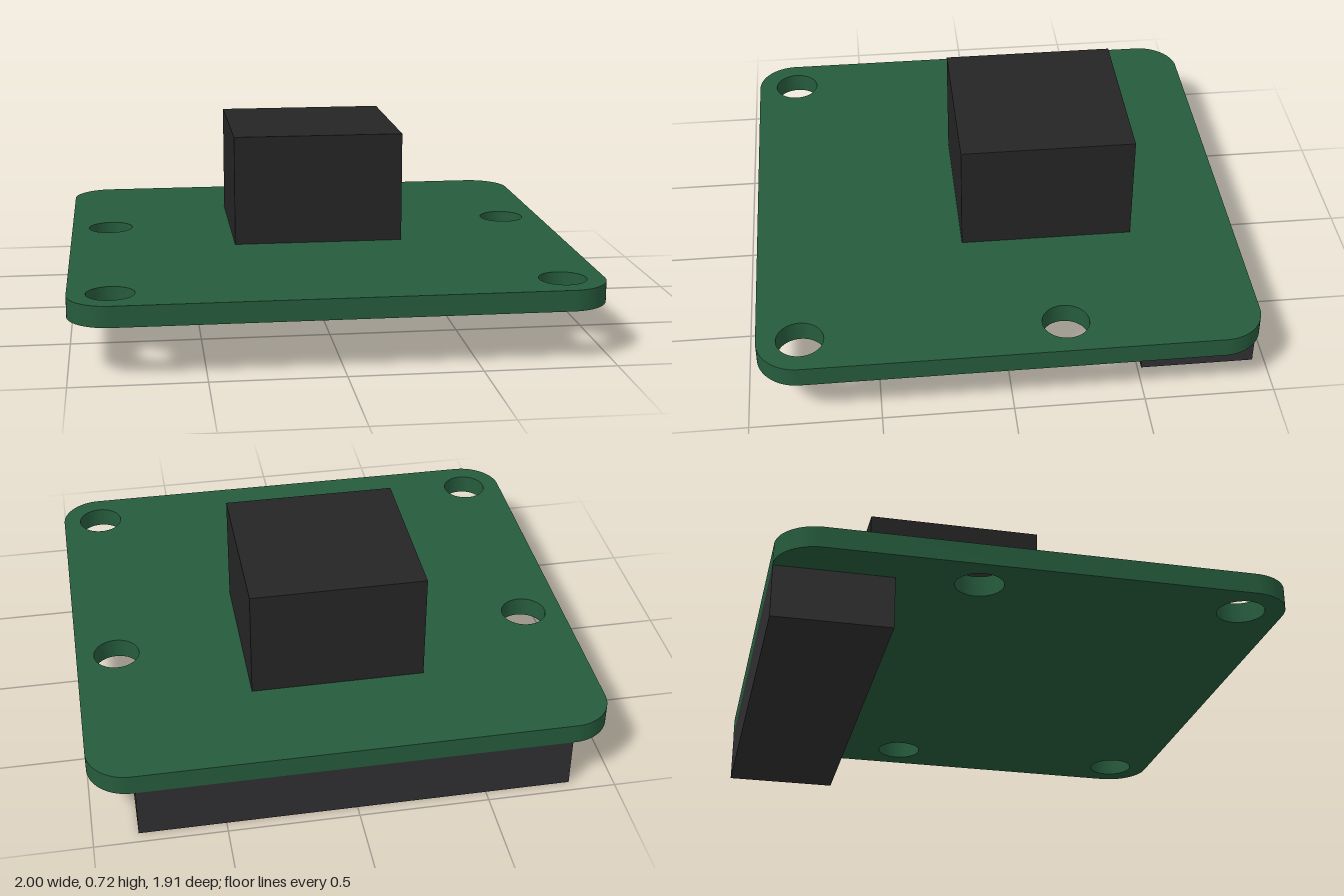
import * as THREE from 'three';
import { toCreasedNormals } from 'three/addons/utils/BufferGeometryUtils.js';

const HALF_W = 1, HALF_D = 0.955, CORNER = 0.16;
const BOARD_BOTTOM = 0.2, BOARD_TOP = 0.28;

function addPart(group, name, geometry, color) {
  const mesh = new THREE.Mesh(geometry, new THREE.MeshStandardMaterial({ color }));
  mesh.name = name;
  group.add(mesh);
  return mesh;
}

// Rounded rectangle with four mounting holes, drawn in x and z
function boardShape() {
  const shape = new THREE.Shape();
  const cx = HALF_W - CORNER, cz = HALF_D - CORNER;
  [[cx, cz], [-cx, cz], [-cx, -cz], [cx, -cz]].forEach(([x, z], i) => {
    shape.absarc(x, z, CORNER, i * Math.PI / 2, (i + 1) * Math.PI / 2, false);
  });
  shape.closePath();
  for (const x of [-0.84, 0.84]) {
    for (const z of [-0.21, 0.79]) {
      shape.holes.push(new THREE.Path().absarc(x, z, 0.09, 0, Math.PI * 2, true));
    }
  }
  return shape;
}

export function createModel() {
  const model = new THREE.Group();
  model.name = 'sensorBoard';

  // Circuit board, laid flat
  const board = new THREE.ExtrudeGeometry(boardShape(), {
    depth: BOARD_TOP - BOARD_BOTTOM, bevelEnabled: false, curveSegments: 24,
  });
  board.rotateX(Math.PI / 2).translate(0, BOARD_TOP, 0);
  addPart(model, 'circuitBoard', toCreasedNormals(board, 0.6), 0x265c3d);

  // Square housing on the top face
  addPart(model, 'housing', new THREE.BoxGeometry(0.68, 0.44, 0.68), 0x252525)
    .position.set(0, BOARD_TOP + 0.22, -0.2);

  // Connector under the back edge
  addPart(model, 'connector', new THREE.BoxGeometry(1.66, 0.2, 0.44), 0x303032)
    .position.set(0, 0.1, -0.735);

  return model;
}
